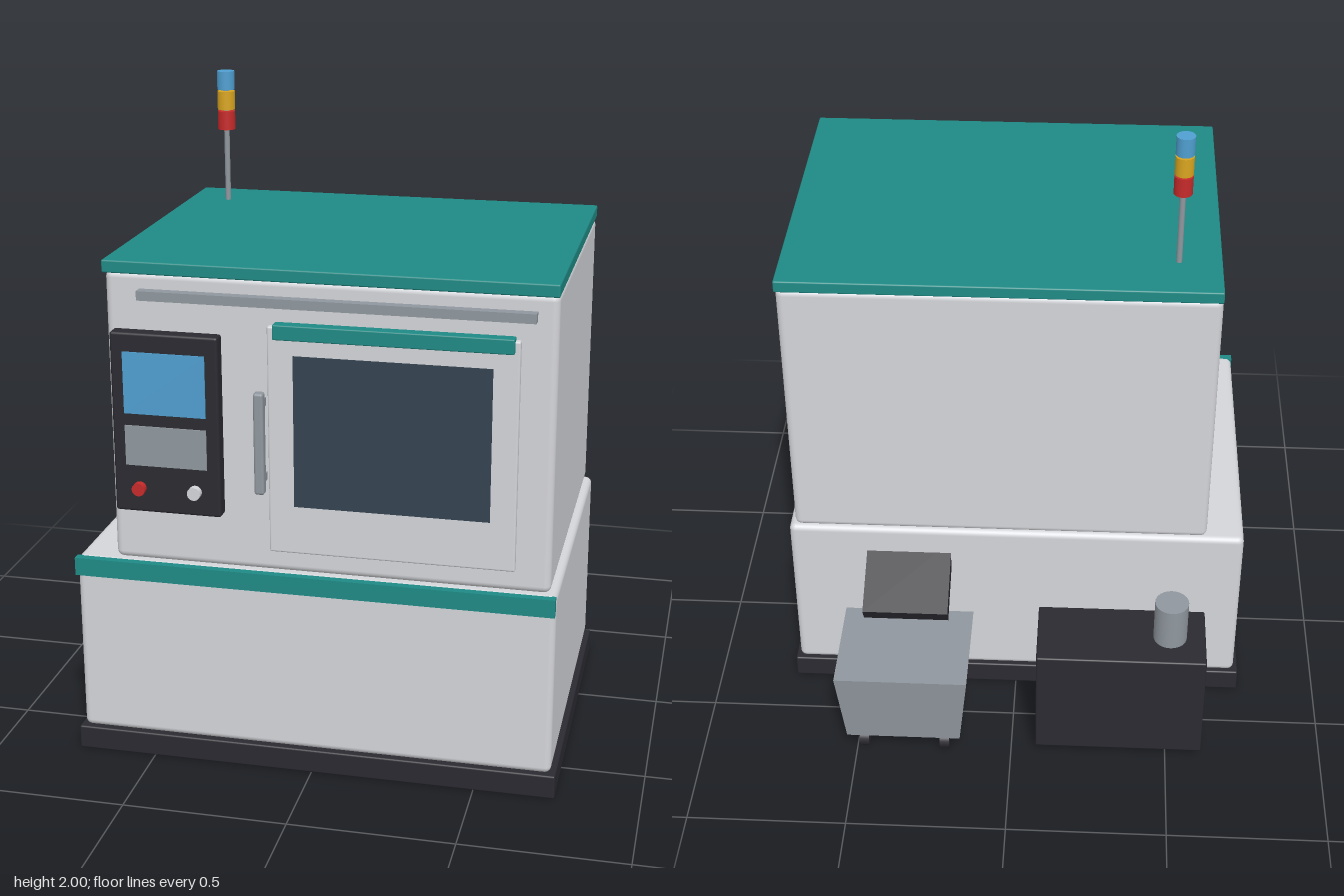
import * as THREE from 'three';
import { RoundedBoxGeometry } from 'three/addons/geometries/RoundedBoxGeometry.js';

const paint = (name, color) => {
  const m = new THREE.MeshStandardMaterial({ color });
  m.name = name;
  return m;
};

export function createModel() {
  const body = paint('light grey panel', 0xd4d5d9);
  const teal = paint('teal trim', 0x1f8a85);
  const dark = paint('charcoal', 0x2a2a31);
  const steel = paint('steel grey', 0x8f979e);
  const glass = paint('dark glass', 0x34424f);
  const blue = paint('blue', 0x4f9fd0);
  const red = paint('red', 0xc62a2a);
  const yellow = paint('amber', 0xd9a520);

  const model = new THREE.Group();
  model.name = 'machiningCentre';

  const add = (name, geometry, material, parent = model) => {
    const mesh = new THREE.Mesh(geometry, material);
    mesh.name = name;
    parent.add(mesh);
    return mesh;
  };
  // Box given by its limits on each axis, optionally with rounded edges
  const box = (name, material, [x0, x1], [y0, y1], [z0, z1], r = 0, parent = model) => {
    const size = [x1 - x0, y1 - y0, z1 - z0];
    const g = r ? new RoundedBoxGeometry(...size, 3, r) : new THREE.BoxGeometry(...size);
    const mesh = add(name, g, material, parent);
    mesh.position.set((x0 + x1) / 2, (y0 + y1) / 2, (z0 + z1) / 2);
    return mesh;
  };
  const cylinder = (name, material, r, h, x, y, z, parent = model, sides = 24) => {
    const mesh = add(name, new THREE.CylinderGeometry(r, r, h, sides), material, parent);
    mesh.position.set(x, y, z);
    return mesh;
  };
  const group = (name) => {
    const g = new THREE.Group();
    g.name = name;
    model.add(g);
    return g;
  };

  // Cabinet
  box('basePlinth', dark, [-0.745, 0.745], [0, 0.075], [-0.35, 0.695], 0.006);
  box('lowerCabinet', body, [-0.73, 0.73], [0.075, 0.648], [-0.342, 0.685], 0.02);
  box('lowerTrim', teal, [-0.732, 0.728], [0.59, 0.646], [0.67, 0.698]);
  box('upperCabinet', body, [-0.61, 0.71], [0.648, 1.545], [-0.337, 0.667], 0.022);
  box('roof', teal, [-0.61, 0.712], [1.542, 1.58], [-0.345, 0.69], 0.005);
  box('topRail', steel, [-0.505, 0.65], [1.467, 1.495], [0.66, 0.698]);

  // Side vents
  const vents = group('sideVents');
  for (let i = 0; i < 5; i++) {
    const y = 0.315 + i * 0.052;
    box('ventSlot', dark, [-0.736, -0.727], [y - 0.011, y + 0.011], [-0.26, 0.14], 0, vents);
  }

  // Sliding door with window and handle
  const door = group('door');
  box('doorPanel', body, [-0.122, 0.607], [0.718, 1.41], [0.655, 0.687], 0.006, door);
  box('doorTrim', teal, [-0.102, 0.592], [1.375, 1.42], [0.66, 0.703], 0.004, door);
  box('doorWindow', glass, [-0.045, 0.532], [0.867, 1.327], [0.684, 0.69], 0, door);
  box('doorHandle', steel, [-0.155, -0.125], [0.91, 1.22], [0.698, 0.73], 0.008, door);
  for (const y of [0.95, 1.18]) {
    box('handleMount', steel, [-0.149, -0.131], [y - 0.012, y + 0.012], [0.66, 0.7], 0, door);
  }

  // Control panel
  const panel = group('controlPanel');
  box('panelHousing', dark, [-0.588, -0.263], [0.82, 1.372], [0.655, 0.708], 0.008, panel);
  box('screen', blue, [-0.55, -0.302], [1.127, 1.315], [0.705, 0.712], 0, panel);
  box('keypad', steel, [-0.55, -0.302], [0.967, 1.09], [0.705, 0.712], 0, panel);
  for (const [name, mat, x] of [['stopButton', red, -0.51], ['startButton', body, -0.34]]) {
    cylinder(name, mat, 0.02, 0.03, x, 0.896, 0.714, panel).rotation.x = Math.PI / 2;
  }

  // Signal tower
  const tower = group('signalTower');
  cylinder('pole', steel, 0.009, 0.42, -0.48, 1.78, -0.175, tower, 12);
  [red, yellow, blue].forEach((mat, i) =>
    cylinder('signalLamp', mat, 0.028, 0.059, -0.48, 1.842 + i * 0.0643, -0.175, tower));

  // Coolant tank and pump
  const tank = group('coolantTank');
  box('tankBody', dark, [-0.613, -0.08], [0.04, 0.425], [-0.68, -0.437], 0.006, tank);
  cylinder('pump', steel, 0.053, 0.145, -0.5, 0.4975, -0.56, tank);

  // Chip chute
  const chute = add('chipChute', new THREE.BoxGeometry(0.272, 0.058, 0.25), dark);
  chute.position.set(0.345, 0.49, -0.4);
  chute.rotation.x = -0.51;

  // Chip cart, tapered toward its floor
  const cart = group('chipCart');
  const binShape = new THREE.BoxGeometry(0.418, 0.262, 0.338);
  const p = binShape.attributes.position;
  for (let i = 0; i < p.count; i++) {
    if (p.getY(i) < 0) p.setXYZ(i, p.getX(i) * 0.87, p.getY(i), p.getZ(i) * 0.87);
  }
  binShape.computeVertexNormals();
  add('cartBin', binShape, steel, cart).position.set(0.345, 0.216, -0.558);
  for (const x of [0.215, 0.475]) {
    for (const z of [-0.458, -0.658]) {
      cylinder('casterWheel', dark, 0.03, 0.03, x, 0.037, z, cart, 16).rotation.z = Math.PI / 2;
      box('casterMount', dark, [x - 0.02, x + 0.02], [0.055, 0.088], [z - 0.02, z + 0.02], 0, cart);
    }
  }

  return model;
}
